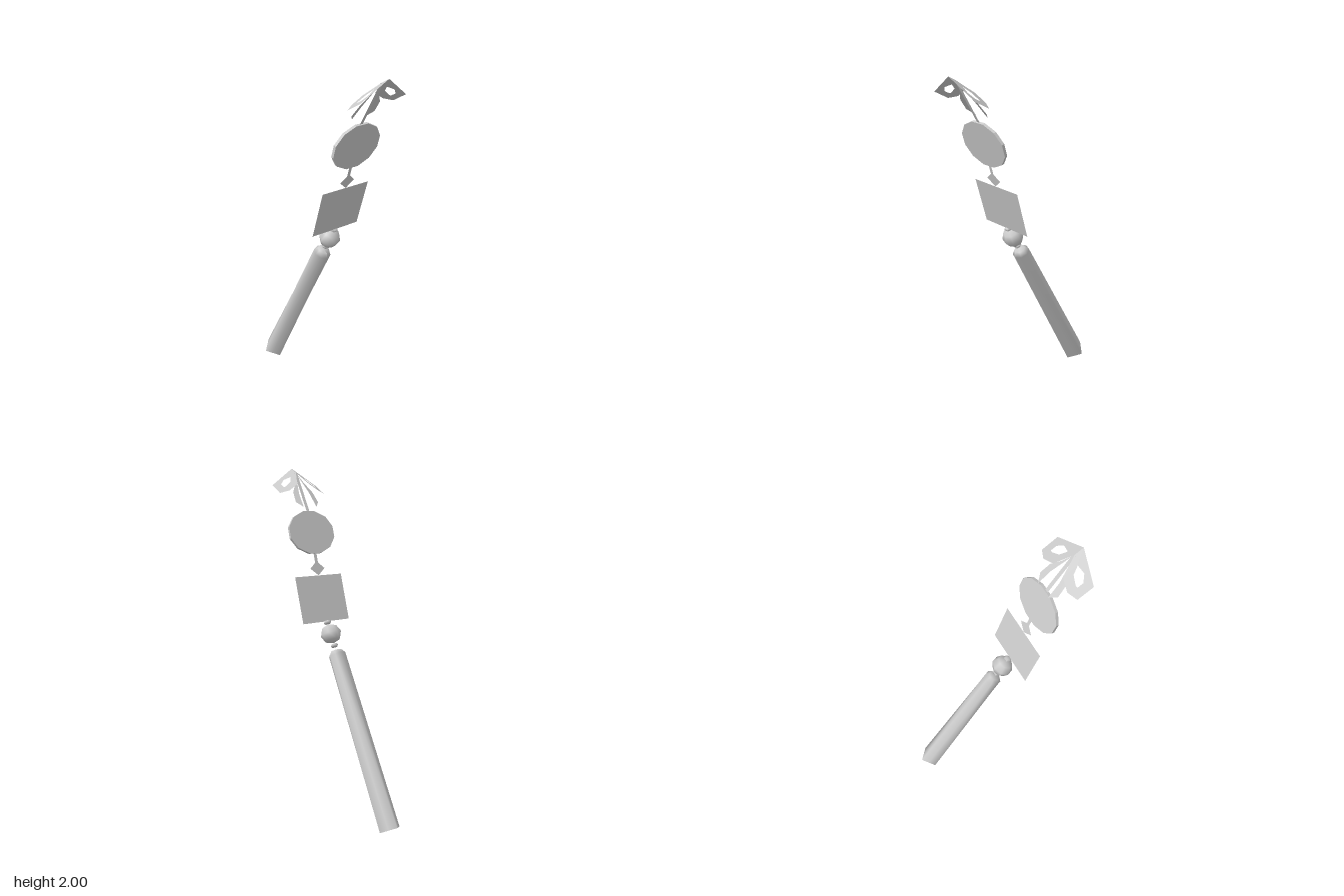
import * as THREE from 'three';

const solid = new THREE.MeshStandardMaterial({ color: 0xcccccc });
const flat = new THREE.MeshStandardMaterial({ color: 0xcccccc, flatShading: true });
const thin = new THREE.MeshStandardMaterial({ color: 0xcccccc, side: THREE.DoubleSide });

function add(parent, name, geometry, material, x = 0, y = 0, z = 0) {
  const mesh = new THREE.Mesh(geometry, material);
  mesh.name = name;
  mesh.position.set(x, y, z);
  parent.add(mesh);
  return mesh;
}

const toPoints = (pts) => pts.map(([x, y]) => new THREE.Vector2(x, y));

// Thin sheet outlined in x and z, with its height given by a rule
function sheet(outline, height, hole) {
  const shape = new THREE.Shape(toPoints(outline));
  if (hole) shape.holes.push(new THREE.Path(toPoints(hole)));
  const geo = new THREE.ShapeGeometry(shape);
  const p = geo.attributes.position;
  for (let i = 0; i < p.count; i++) {
    const x = p.getX(i), z = p.getY(i);
    p.setXYZ(i, x, height(Math.abs(x), z), z);
  }
  geo.computeVertexNormals();
  return geo;
}

// Tassel: round at the top, turning into a square diamond at the bottom
function tasselGeometry() {
  const profile = [[0, 0], [0.07, 0], [0.07, 0], [0.05, 1.025], [0.032, 1.05], [0, 1.05]];
  const geo = new THREE.LatheGeometry(toPoints(profile), 8);
  const p = geo.attributes.position;
  for (let i = 0; i < p.count; i++) {
    const x = p.getX(i), y = p.getY(i), z = p.getZ(i);
    const diagonal = Math.min(Math.abs(x), Math.abs(z)) > 0.01;
    const k = diagonal ? 0.7072 + 0.29 * Math.min(1, y / 1.025) : 1;
    p.setXYZ(i, x * k, y, z * k);
  }
  geo.computeVertexNormals();
  return geo;
}

export function createModel() {
  const model = new THREE.Group();
  model.name = 'hangingCharm';

  // Swinging tassel with its beads
  const tassel = new THREE.Group();
  tassel.name = 'tasselAndBeads';
  tassel.position.set(0, 0.035, -0.452);
  tassel.rotation.x = 0.503;
  model.add(tassel);
  add(tassel, 'tassel', tasselGeometry(), solid);
  add(tassel, 'largeBead', new THREE.SphereGeometry(0.06, 8, 4), solid, 0, 1.155)
    .scale.set(1.06, 0.97, 1);
  for (const y of [1.082, 1.227]) {
    add(tassel, 'smallBead', new THREE.SphereGeometry(0.024, 6, 4), solid, 0, y)
      .scale.y = 0.55;
  }

  // Hanging ornaments, all in one leaning plane
  const chain = new THREE.Group();
  chain.name = 'ornaments';
  chain.position.set(0, 1.11, 0.15);
  chain.rotation.x = 0.285;
  model.add(chain);
  add(chain, 'card', new THREE.PlaneGeometry(0.325, 0.275), thin, 0, 0.142)
    .rotation.z = -0.012;
  const diamond = new THREE.Shape(toPoints([[0, 0.28], [0.05, 0.322], [0, 0.365], [-0.05, 0.322]]));
  add(chain, 'diamond', new THREE.ShapeGeometry(diamond), thin);
  add(chain, 'cord', new THREE.PlaneGeometry(0.02, 0.075), thin, 0, 0.382);
  const disc = new THREE.CylinderGeometry(1, 1, 1, 12).rotateX(Math.PI / 2).rotateZ(Math.PI / 12);
  add(chain, 'disc', disc, flat, 0, 0.538).scale.set(0.158, 0.13, 0.016);

  // Cord from disc to bow
  add(model, 'upperCord', sheet([[-0.01, 0.335], [0.01, 0.335], [0.01, 0.468], [-0.01, 0.468]],
    (x, z) => 1.745 + (z - 0.335) * 1.72), thin);

  // Bow: a pierced loop and a tail on each side
  const bow = new THREE.Group();
  bow.name = 'bow';
  model.add(bow);
  const loop = [[0, 0.513], [0.154, 0.482], [0.154, 0.398], [0.103, 0.373], [0.042, 0.384], [0, 0.466]];
  const loopHole = [[0.042, 0.46], [0.062, 0.428], [0.102, 0.417], [0.114, 0.42], [0.114, 0.45], [0.085, 0.47]];
  const tail = [[0, 0.468], [0.037, 0.375], [0.045, 0.314], [0.078, 0.346], [0.068, 0.39], [0.03, 0.425]];
  for (const side of [1, -1]) {
    const mirror = (pts) => pts.map(([x, z]) => [x * side, z]);
    add(bow, 'bowLoop', sheet(mirror(loop),
      (x, z) => 2 + 0.544 * (z - 0.513) - 0.544 * x, mirror(loopHole)), thin);
    add(bow, 'bowTail', sheet(mirror(tail),
      (x, z) => 1.976 + 1.21 * (z - 0.468) - 0.34 * x), thin);
  }
  return model;
}
